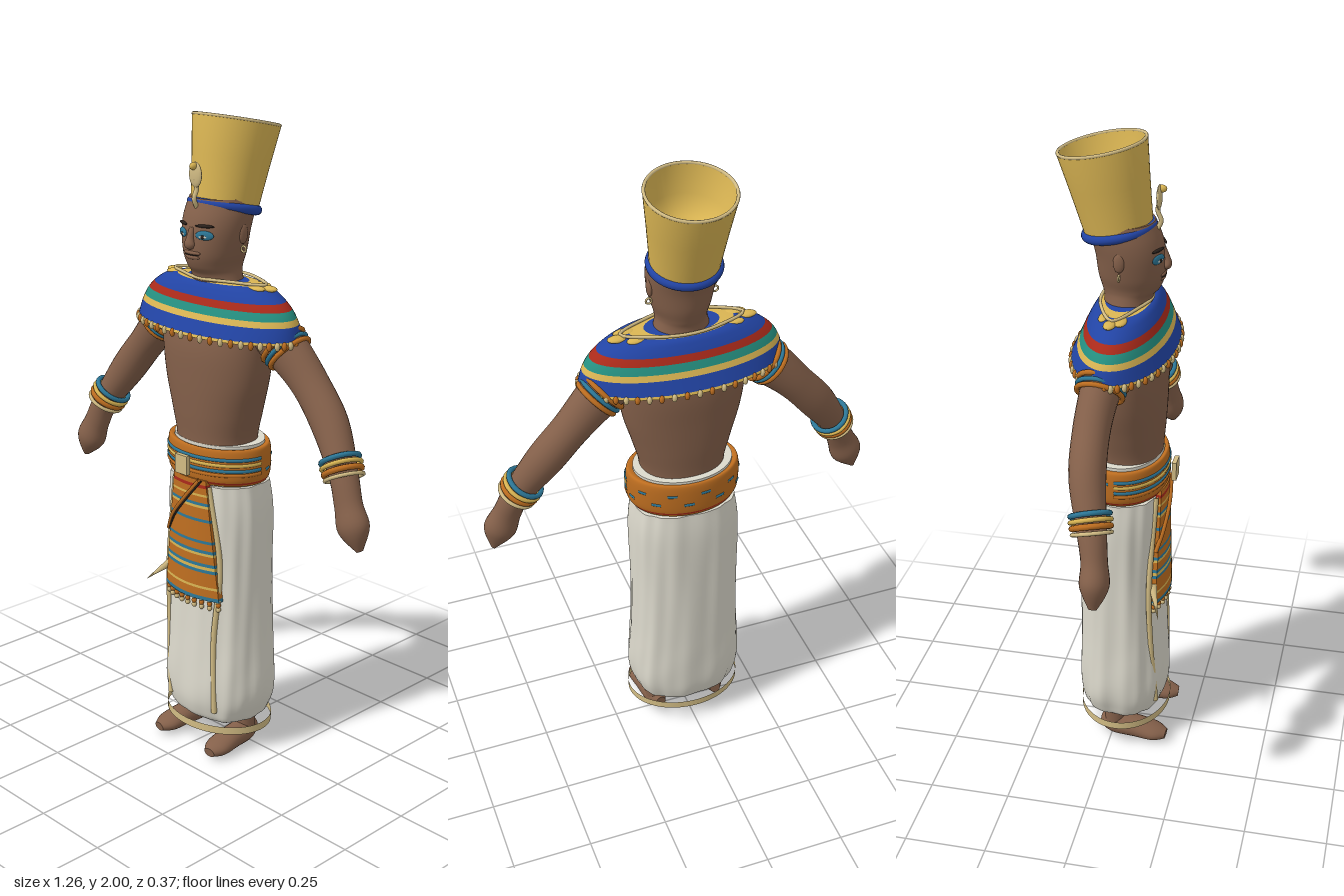
import * as THREE from 'three';

const paint = (name, color) => new THREE.MeshStandardMaterial({ name, color, side: THREE.DoubleSide });
const skin = paint('skin', 0x84604a), gold = paint('gold', 0xdab553), pale = paint('pale gold', 0xd2bc84);
const linen = paint('linen', 0xdcd9cc), orange = paint('orange', 0xbe6e20), blue = paint('blue', 0x2244a4);
const red = paint('red', 0xaa2a1a), teal = paint('teal', 0x258f80), steel = paint('steel blue', 0x2d7898);
const dark = paint('dark', 0x2a211c);

const V = (x, y, z) => new THREE.Vector3(x, y, z);

function mesh(parent, name, geo, mat, x = 0, y = 0, z = 0) {
  const m = new THREE.Mesh(geo, mat);
  m.name = name;
  m.position.set(x, y, z);
  parent.add(m);
  return m;
}

// Smooth interpolation through a list of number rows; s runs from 0 to rows.length - 1
function sample(rows, s) {
  const n = rows.length - 1, i = Math.min(Math.floor(s), n - 1), t = s - i;
  const row = k => rows[Math.max(0, Math.min(n, k))];
  return rows[i].map((b, k) => {
    const a = row(i - 1)[k], c = row(i + 1)[k], d = row(i + 2)[k];
    return b + 0.5 * t * (c - a + t * (2 * a - 5 * b + 4 * c - d + t * (3 * (b - c) + d - a)));
  });
}

// Skin over closed rings of points, with optional flat caps
function skinRings(rings, cap) {
  const n = rings[0].length, pos = [], idx = [];
  rings.forEach(r => r.forEach(p => pos.push(p.x, p.y, p.z)));
  for (let i = 0; i < rings.length - 1; i++) for (let j = 0; j < n; j++) {
    const k = (j + 1) % n, a = i * n + j, b = i * n + k;
    idx.push(a, a + n, b, b, a + n, b + n);
  }
  if (cap) [rings[0], rings[rings.length - 1]].forEach((r, end) => {
    const c = r.reduce((q, p) => q.add(p), V(0, 0, 0)).divideScalar(n), o = pos.length / 3;
    [c, ...r].forEach(p => pos.push(p.x, p.y, p.z));
    for (let j = 0; j < n; j++) {
      const u = o + 1 + j, v = o + 1 + (j + 1) % n;
      end ? idx.push(o, v, u) : idx.push(o, u, v);
    }
  });
  const g = new THREE.BufferGeometry();
  g.setAttribute('position', new THREE.Float32BufferAttribute(pos, 3));
  g.setIndex(idx);
  g.computeVertexNormals();
  return g;
}

// Upright loft; rows are [y, half width, z centre, half depth]
function loft(rows, { from = 0, to = rows.length - 1, pow = 2, cap = true, bump = () => 1, seg = 64 } = {}) {
  const steps = Math.max(2, Math.ceil((to - from) * 6)), rings = [];
  const e = v => Math.sign(v) * Math.abs(v) ** (2 / pow);
  for (let i = 0; i <= steps; i++) {
    const [y, rx, zc, rz] = sample(rows, from + (to - from) * i / steps), ring = [];
    for (let j = 0; j < seg; j++) {
      const t = j / seg * Math.PI * 2, k = bump(t, y);
      ring.push(V(rx * e(Math.cos(t)) * k, y, zc + rz * e(Math.sin(t)) * k));
    }
    rings.push(ring);
  }
  return skinRings(rings, cap);
}

// Colour bands along one loft; cuts are [end, material]
function bands(parent, name, rows, cuts) {
  let from = 0;
  cuts.forEach(([to, mat]) => {
    mesh(parent, name, loft(rows, { from, to, cap: false }), mat);
    from = to;
  });
}

// Limb along a path; rows are [x, y, z, radius across, radius along ref]
function limb(rows, ref, seg = 24) {
  const rings = [], steps = (rows.length - 1) * 6, at = s => V(...sample(rows, s).slice(0, 3));
  for (let i = 0; i <= steps; i++) {
    const s = i / 6, [x, y, z, ru, rv] = sample(rows, s);
    const T = at(Math.min(s + 0.05, rows.length - 1)).sub(at(Math.max(s - 0.05, 0))).normalize();
    const U = T.clone().cross(ref).normalize(), W = U.clone().cross(T), ring = [];
    for (let j = 0; j < seg; j++) {
      const t = j / seg * Math.PI * 2;
      ring.push(V(x, y, z).addScaledVector(U, ru * Math.cos(t)).addScaledVector(W, rv * Math.sin(t)));
    }
    rings.push(ring);
  }
  return skinRings(rings, true);
}

const tube = (pts, r, closed = false, seg = 48) =>
  new THREE.TubeGeometry(new THREE.CatmullRomCurve3(pts.map(p => V(...p)), closed), seg, r, 8, closed);

function ball(parent, name, mat, x, y, z, sx, sy, sz, ry = 0) {
  const m = mesh(parent, name, new THREE.SphereGeometry(1, 16, 10), mat, x, y, z);
  m.scale.set(sx, sy, sz);
  m.rotation.y = ry;
}

function head(g) {
  mesh(g, 'head', loft([[1.46, .1, .025, .075], [1.53, .08, .03, .072], [1.56, .078, .037, .086], [1.6, .09, .038, .098],
    [1.66, .101, .034, .102], [1.71, .104, .022, .104], [1.76, .098, .005, .1]]), skin);
  mesh(g, 'nose', limb([[0, 1.68, .13, .008, .008], [0, 1.65, .138, .012, .012], [0, 1.63, .142, .018, .013], [0, 1.62, .136, .01, .006]], V(0, 0, 1)), skin);
  ball(g, 'lips', skin, 0, 1.606, .13, .034, .008, .01);
  ball(g, 'mouth', dark, 0, 1.6, .132, .03, .0025, .008);
  ball(g, 'lips', skin, 0, 1.593, .128, .03, .008, .01);
  for (const s of [-1, 1]) {
    const turn = s * .42;
    ball(g, 'eyeLiner', steel, s * .045, 1.66, .124, .029, .014, .005, turn);
    ball(g, 'eye', linen, s * .042, 1.656, .127, .015, .005, .005, turn);
    ball(g, 'pupil', dark, s * .042, 1.656, .129, .006, .006, .005, turn);
    ball(g, 'eyebrow', dark, s * .045, 1.687, .123, .03, .005, .005, turn);
    ball(g, 'ear', skin, s * .099, 1.66, .02, .009, .03, .017);
    mesh(g, 'earring', new THREE.TorusGeometry(.009, .003, 8, 16), pale, s * .101, 1.615, .02);
  }
}

function crown(g) {
  const c = new THREE.Group();
  c.name = 'crown';
  c.position.set(0, 1.728, 0);
  c.rotation.x = -.2;
  g.add(c);
  const profile = [[.1, 0], [.107, .06], [.117, .14], [.132, .25], [.124, .25], [.11, .16], [.07, .11], [0, .09]];
  mesh(c, 'crownShell', new THREE.LatheGeometry(profile.map(p => new THREE.Vector2(...p)), 48), gold);
  mesh(c, 'crownRim', new THREE.TorusGeometry(.128, .005, 8, 48), pale, 0, .25, 0).rotation.x = Math.PI / 2;
  mesh(c, 'crownBand', new THREE.TorusGeometry(.097, .015, 12, 48), blue).rotation.x = Math.PI / 2;
  // Upright cobra ornament
  mesh(g, 'cobraBody', tube([[0, 1.73, .108], [0, 1.76, .122], [0, 1.79, .112], [0, 1.82, .118]], .007), pale);
  ball(g, 'cobraHood', pale, 0, 1.83, .116, .026, .037, .008);
  ball(g, 'cobraHead', gold, 0, 1.855, .124, .01, .011, .014);
}

function arm(g, s) {
  const rows = [[.17, 1.42, .015, .08, .07], [.27, 1.335, .003, .07, .058], [.355, 1.25, -.003, .058, .054], [.44, 1.15, .005, .057, .053],
    [.52, 1.03, .035, .043, .043], [.555, .95, .05, .044, .038], [.583, .885, .056, .05, .042], [.607, .825, .056, .008, .012]]
    .map(r => [s * r[0], ...r.slice(1)]);
  mesh(g, 'arm', limb(rows, V(0, 0, 1)), skin);
  // Rings of the armlet and bracelet: [place on arm, radius, thickness, colour]
  [[.8, .071, .008, orange], [.92, .069, .007, steel], [1.04, .067, .008, orange],
    [3.68, .056, .008, steel], [3.8, .058, .007, gold], [3.93, .055, .009, orange], [4.08, .056, .006, pale]].forEach(([t, r, w, mat], i) => {
    const [x, y, z] = sample(rows, t), a = V(...sample(rows, t - .1).slice(0, 3)), b = V(...sample(rows, t + .1).slice(0, 3));
    const ring = mesh(g, i < 3 ? 'armlet' : 'bracelet', new THREE.TorusGeometry(r, w, 8, 32), mat, x, y, z);
    ring.quaternion.setFromUnitVectors(V(0, 0, 1), b.sub(a).normalize());
  });
}

function collar(g) {
  bands(g, 'collar', [[1.37, .318, .025, .156], [1.42, .305, .025, .133], [1.46, .28, .025, .115], [1.495, .235, .025, .097],
    [1.515, .18, .025, .08], [1.52, .07, .025, .05]],
  [[.22, gold], [.95, blue], [1.35, gold], [1.95, teal], [2.5, red], [4.2, blue], [4.55, gold], [5, blue]]);
  mesh(g, 'neckline', tube([[-.19, 1.522, .02], [-.09, 1.525, .075], [0, 1.525, .1], [.09, 1.525, .075], [.19, 1.522, .02],
    [.09, 1.525, -.035], [0, 1.525, -.05], [-.09, 1.525, -.035]], .005, true), pale);
  // Gold patches on top of each shoulder
  for (const s of [-1, 1]) [[.17, .04, .035, .02], [.2, .015, .03, .018], [.15, -.012, .03, .016]]
    .forEach(([x, z, sx, sz]) => ball(g, 'collarPatch', gold, s * x, 1.512, z, sx, .009, sz));
  for (let i = 0; i < 52; i++) {
    const t = i / 52 * Math.PI * 2;
    ball(g, 'collarBead', i % 2 ? pale : orange, .318 * Math.cos(t), 1.368, .025 + .154 * Math.sin(t), .008, .013, .008);
  }
}

function belt(g) {
  bands(g, 'belt', [[.905, .166, .02, .125], [.925, .178, .022, .132], [.965, .181, .022, .134], [1.005, .18, .022, .133], [1.022, .174, .022, .128], [1.02, .158, .022, .117]],
    [[.45, orange], [.75, red], [5, orange]]);
  // Woven lines across the front
  [[.944, orange], [.957, steel], [.975, gold], [.992, steel]].forEach(([y, mat]) => {
    const pts = Array.from({ length: 17 }, (_, k) => [.178 * Math.cos(k * Math.PI / 16), y, .022 + .131 * Math.sin(k * Math.PI / 16)]);
    mesh(g, 'beltLine', tube(pts, .0065), mat);
  });
  // Scattered dashes behind
  for (let i = 0; i < 10; i++) {
    const pts = [0, .06, .12, .18].map(d => Math.PI * (1.04 + i * .095) + d)
      .map(t => [.178 * Math.cos(t), i % 2 ? .95 : .985, .022 + .131 * Math.sin(t)]);
    mesh(g, 'beltDash', tube(pts, .0055, false, 8), steel);
  }
  mesh(g, 'buckle', new THREE.BoxGeometry(.052, .06, .014), pale, 0, .966, .177);
}

function skirt(g) {
  const folds = (t, y) => 1 + .014 * Math.sin(9 * t + 2 * Math.sin(4 * y)) + .009 * Math.sin(17 * t + 5 * y)
    + .012 * Math.max(0, 1 - y / .4) * Math.sin(30 * y + 6 * t);
  mesh(g, 'skirt', loft([[.088, .07, .022, .055], [.105, .145, .022, .112], [.14, .17, .022, .132], [.22, .185, .022, .14], [.4, .176, .018, .134],
    [.6, .172, .015, .129], [.8, .173, .015, .128], [.9, .163, .018, .122]], { pow: 2.4, bump: folds, seg: 96 }), linen);
  mesh(g, 'waistLining', loft([[.88, .155, .02, .118], [1.03, .158, .02, .118]]), linen);
  mesh(g, 'hemBand', loft([[.08, .19, .025, .145], [.105, .19, .025, .145]], { cap: false }), pale);
  // Cords hanging down the front of the skirt
  mesh(g, 'cord', tube([[-.08, .9, .132], [-.125, .6, .122], [-.12, .4, .127], [-.1, .15, .143]], .009), pale);
  mesh(g, 'cord', tube([[.07, .9, .134], [.11, .65, .127], [.095, .4, .139], [.1, .15, .143]], .009), pale);
}

function apron(g) {
  // Stacked rows, widening downward and bent round the skirt
  const rows = [[.015, orange], [.01, red], [.02, orange], [.007, gold], [.02, orange], [.009, steel], [.008, gold], [.035, orange], [.009, steel],
    [.06, orange], [.009, steel], [.022, orange], [.01, steel], [.008, gold], [.025, orange], [.01, steel], [.01, gold], [.01, steel],
    [.045, orange], [.008, gold], [.025, orange], [.012, steel]];
  let top = .92;
  rows.forEach(([h, mat]) => {
    const geo = new THREE.BoxGeometry(1, h, .018, 14, 1, 1), p = geo.attributes.position;
    for (let i = 0; i < p.count; i++) {
      const y = top - h / 2 + p.getY(i), f = (.92 - y) / .39, x = p.getX(i) * (.14 + .1 * f);
      p.setXYZ(i, x, y, .148 + .012 * f - 2 * x * x + p.getZ(i));
    }
    geo.computeVertexNormals();
    mesh(g, 'apron', geo, mat);
    top -= h;
  });
  for (let i = -4; i <= 4; i++) for (let k = 0; k < 3; k++) {
    const x = i * .028;
    ball(g, 'tassel', k === 1 ? orange : pale, x, .535 - k * .014, .16 - 2 * x * x, .008, .009, .008);
  }
  mesh(g, 'sashEdge', tube([[.06, .92, .157], [0, .85, .163], [-.06, .78, .157], [-.1, .72, .142]], .003), dark);
  mesh(g, 'sash', tube([[.05, .92, .156], [-.01, .85, .162], [-.07, .78, .154], [-.107, .72, .138]], .007), orange);
  const a = V(-.11, .6, .13), b = V(-.19, .525, .165), dir = b.clone().sub(a);
  const spike = mesh(g, 'daggerSpike', new THREE.ConeGeometry(.014, dir.length(), 8), pale, ...a.clone().add(b).divideScalar(2).toArray());
  spike.quaternion.setFromUnitVectors(V(0, 1, 0), dir.normalize());
}

export function createModel() {
  const g = new THREE.Group();
  g.name = 'royalFigure';
  mesh(g, 'torso', loft([[.95, .14, .03, .11], [1.03, .133, .03, .107], [1.12, .155, .03, .113], [1.22, .183, .03, .117], [1.32, .198, .028, .118],
    [1.4, .2, .025, .105], [1.46, .165, .025, .078], [1.5, .1, .025, .06]], { pow: 2.2 }), skin);
  [head, crown, collar, belt, skirt, apron].forEach(build => build(g));
  for (const s of [-1, 1]) {
    arm(g, s);
    mesh(g, 'foot', limb([[s * .1, .045, -.035, .018, .022], [s * .105, .045, .01, .036, .038], [s * .11, .042, .08, .041, .034],
      [s * .115, .034, .145, .042, .025], [s * .118, .03, .182, .02, .014]], V(0, 1, 0)), skin);
    mesh(g, 'ankle', new THREE.CylinderGeometry(.034, .034, .1, 20), skin, s * .105, .09, .01);
  }
  return g;
}
